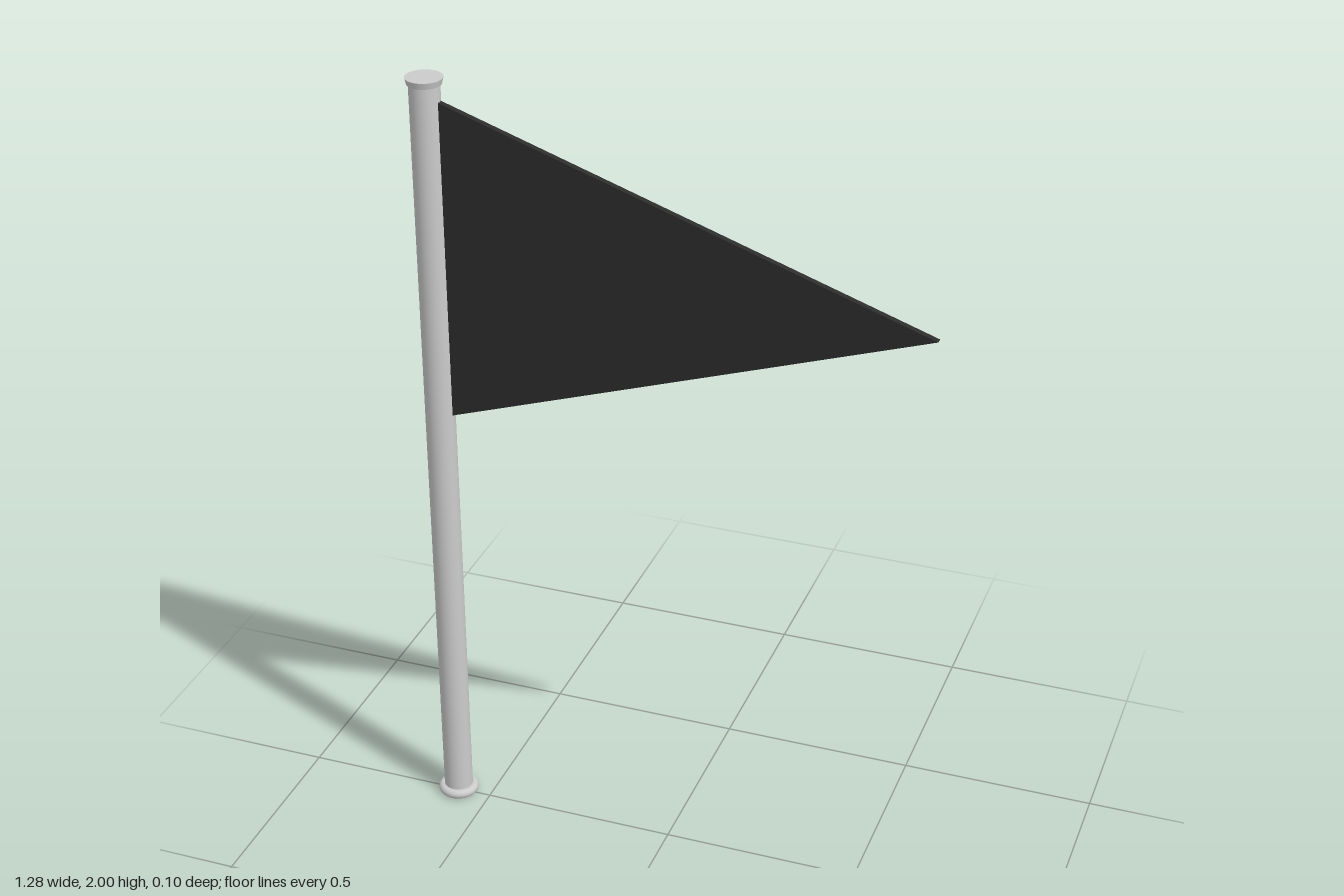
import * as THREE from 'three';

const POLE_X = -0.588;

export function createModel() {
  const group = new THREE.Group();
  const grey = new THREE.MeshStandardMaterial({ color: 0xcccccc });
  const dark = new THREE.MeshStandardMaterial({ color: 0x2c2c2c });

  function add(name, geometry, material, x, y) {
    const mesh = new THREE.Mesh(geometry, material);
    mesh.name = name;
    mesh.position.set(x, y, 0);
    group.add(mesh);
    return mesh;
  }

  // Round pole
  add('pole', new THREE.CylinderGeometry(0.037, 0.037, 1.985, 40), grey, POLE_X, 0.9975);

  // Flared cap on top of the pole
  add('topCap', new THREE.CylinderGeometry(0.045, 0.041, 0.016, 40), grey, POLE_X, 1.992);

  // Rounded ring around the foot
  const ring = new THREE.TorusGeometry(0.04, 0.0125, 14, 40).rotateX(Math.PI / 2);
  add('baseRing', ring, grey, POLE_X, 0.0125);

  // Triangular pennant with a little thickness
  const thickness = 0.016;
  const shape = new THREE.Shape();
  shape.moveTo(-0.555, 1.136);
  shape.lineTo(0.64, 1.54);
  shape.lineTo(-0.555, 1.945);
  shape.closePath();
  const flag = new THREE.ExtrudeGeometry(shape, { depth: thickness, bevelEnabled: false });
  flag.translate(0, 0, -thickness / 2);
  add('pennant', flag, dark, 0, 0);

  return group;
}
